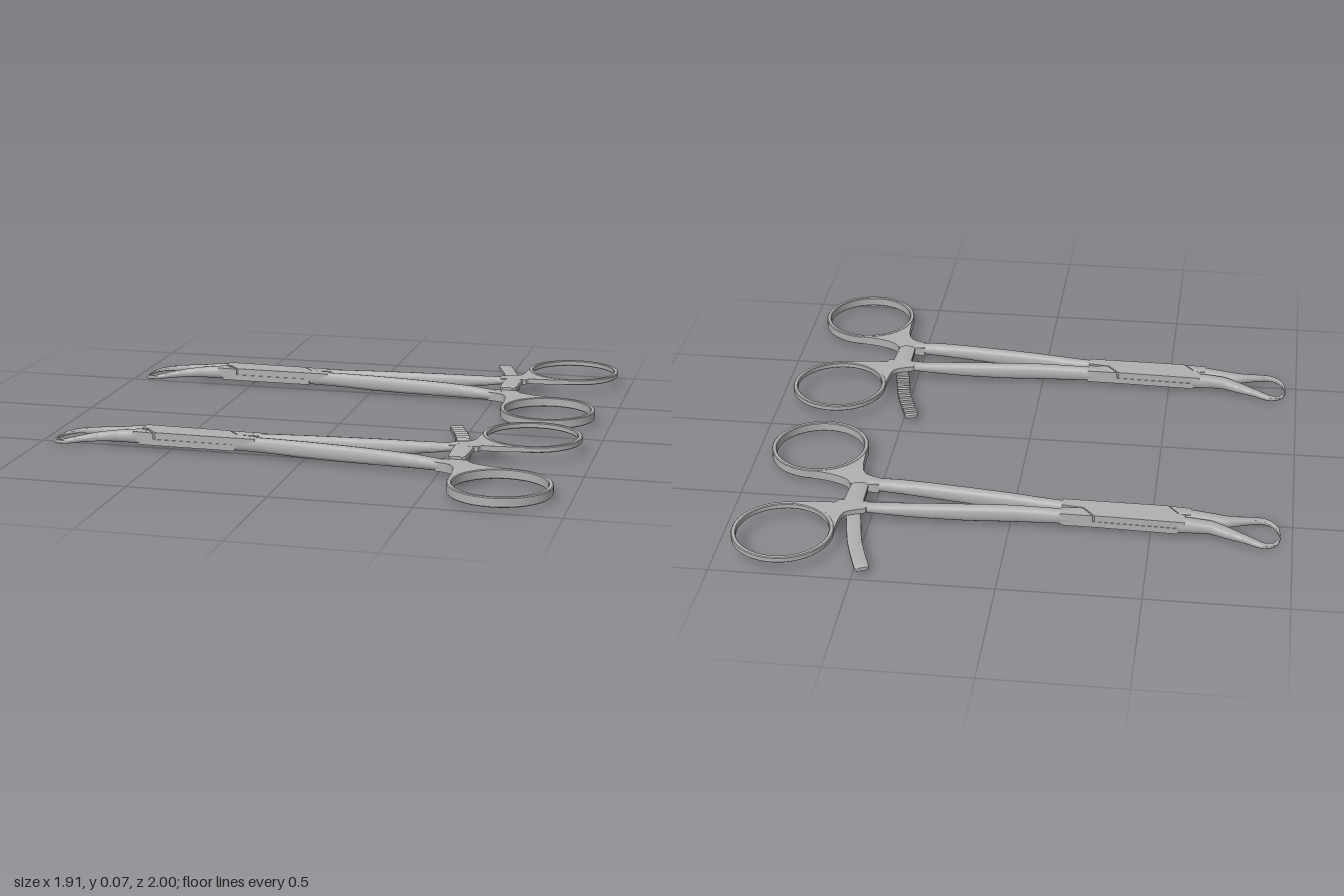
import * as THREE from 'three';
import { toCreasedNormals } from 'three/addons/utils/BufferGeometryUtils.js';

const steel = new THREE.MeshStandardMaterial({ color: 0xb0b0b0 });
steel.name = 'steel';

function add(parent, name, geometry, crease = 0.6) {
  const mesh = new THREE.Mesh(toCreasedNormals(geometry, crease), steel);
  mesh.name = name;
  parent.add(mesh);
  return mesh;
}

// Sweep a rounded section along stations [x, z, width, bottom, top]
function sweep(stations, steps = 40, power = 0.6, sides = 16) {
  const path = new THREE.CatmullRomCurve3(stations.map(s => new THREE.Vector3(s[0], 0, s[1])));
  const pos = [], index = [], last = stations.length - 1;
  const round = v => Math.sign(v) * Math.pow(Math.abs(v), power);
  for (let i = 0; i <= steps; i++) {
    const t = i / steps, k = Math.min(Math.floor(t * last), last - 1), f = t * last - k;
    const [w, lo, hi] = [2, 3, 4].map(c => THREE.MathUtils.lerp(stations[k][c], stations[k + 1][c], f));
    const p = path.getPoint(t), d = path.getTangent(t);
    for (let j = 0; j < sides; j++) {
      const a = j / sides * Math.PI * 2, u = round(Math.cos(a)) * w / 2;
      pos.push(p.x - d.z * u, (lo + hi) / 2 + round(Math.sin(a)) * (hi - lo) / 2, p.z + d.x * u);
    }
    if (i === 0 || i === steps) path['cap' + i] = [p.x, (lo + hi) / 2, p.z];
  }
  const c0 = pos.length / 3, c1 = c0 + 1;
  pos.push(...path.cap0, ...path['cap' + steps]);
  for (let j = 0; j < sides; j++) {
    const n = (j + 1) % sides, e = steps * sides;
    for (let i = 0; i < steps; i++) {
      const a = i * sides + j, b = i * sides + n;
      index.push(a, a + sides, b, b, a + sides, b + sides);
    }
    index.push(c0, j, n, c1, e + n, e + j);
  }
  const g = new THREE.BufferGeometry();
  g.setAttribute('position', new THREE.Float32BufferAttribute(pos, 3));
  g.setIndex(index);
  return g;
}

// Flat plate with an outline in x, z between two heights
function plate(shape, y0, y1) {
  const g = new THREE.ExtrudeGeometry(shape, { depth: y1 - y0, bevelEnabled: false, curveSegments: 24 });
  return g.rotateX(Math.PI / 2).translate(0, y1, 0);
}
const outline = pts => new THREE.Shape(pts.map(p => new THREE.Vector2(...p)));

// Finger ring and the flared web joining it to the shank; side = +1 or -1 in z
function handle(parent, name, cx, cz, side, shift, y0, y1) {
  const ro = 0.18, ri = 0.163, b = 0.003;
  const profile = [[ri, y0 + b], [ri + b, y0], [ro - b, y0], [ro, y0 + b], [ro, y1 - b],
    [ro - b, y1], [ri + b, y1], [ri, y1 - b], [ri, y0 + b]].map(p => new THREE.Vector2(...p));
  add(parent, name + 'Ring', new THREE.LatheGeometry(profile, 64).translate(cx, 0, cz));

  const v = (x, z) => new THREE.Vector2(cx + x, cz + side * z);
  const inner = new THREE.SplineCurve([v(-0.16, -0.25 + shift), v(-0.15, -0.232 + shift),
    v(-0.125, -0.212 + shift / 2), v(-0.066, -0.19), v(0, -0.178)]).getPoints(16);
  const arc = [];
  for (let i = 1; i < 24; i++) {
    const a = Math.PI / 2 * (1 + i / 24);
    arc.push(v(0.168 * Math.cos(a), -0.168 * Math.sin(a)));
  }
  const outer = new THREE.SplineCurve([v(-0.178, 0), v(-0.18, -0.07), v(-0.188, -0.14 + shift / 2),
    v(-0.21, -0.18 + shift), v(-0.265, -0.2 + shift)]).getPoints(16);
  add(parent, name + 'Web', plate(new THREE.Shape([v(-0.265, -0.248 + shift), ...inner, ...arc, ...outer]),
    y0 + 0.001, y1 - 0.001));
}

// Curved jaw with a drooping claw tip
function jaw(parent, name, side, mid) {
  add(parent, name, sweep([
    [-0.957, side * 0.008, 0.005, 0, 0.008], [-0.939, side * 0.056, 0.017, 0.003, 0.014],
    [-0.9, side * 0.077, 0.025, 0.007, 0.023], [-0.84, side * 0.06, 0.03, 0.013, 0.036],
    [-0.775, side * 0.038, 0.042, 0.016, 0.047], [-0.71, mid, 0.046, 0.018, 0.057],
    [-0.65, mid, 0.05, 0.018, 0.064], [-0.595, mid, 0.052, 0.018, 0.066]], 56, 0.55));
}

function clamp(toothed) {
  const g = new THREE.Group();
  jaw(g, 'upperMemberJaw', -1, -0.017);
  jaw(g, 'lowerMemberJaw', 1, 0.034);

  // Box lock: two crossing halves with diagonal shoulders
  add(g, 'lockTopHalf', plate(outline([[-0.62, -0.042], [-0.302, -0.033], [-0.26, 0.016],
    [-0.18, 0.026], [-0.18, 0.066], [-0.555, 0.063], [-0.598, 0.011], [-0.62, 0.009]]), 0.041, 0.066));
  add(g, 'lockBottomHalf', plate(outline([[-0.62, 0.016], [-0.598, 0.012], [-0.598, -0.042], [-0.302, -0.033],
    [-0.18, -0.032], [-0.18, 0.012], [-0.255, 0.016], [-0.255, 0.064], [-0.555, 0.063], [-0.62, 0.058]]), 0.017, 0.04));
  add(g, 'frontShoulder', plate(outline([[-0.64, 0.015], [-0.603, 0.014], [-0.561, 0.064], [-0.64, 0.058]]), 0.03, 0.064));
  add(g, 'rearShoulder', plate(outline([[-0.296, -0.033], [-0.18, -0.032], [-0.18, 0.012], [-0.255, 0.015]]), 0.03, 0.065));

  // Shanks spreading towards the handles
  add(g, 'lowerShank', sweep([[-0.27, 0.04, 0.045, 0.017, 0.065], [-0.13, 0.05, 0.044, 0.015, 0.068],
    [0, 0.067, 0.045, 0.012, 0.07], [0.15, 0.085, 0.047, 0.012, 0.07], [0.3, 0.103, 0.049, 0.015, 0.068],
    [0.42, 0.118, 0.05, 0.017, 0.064], [0.54, 0.132, 0.05, 0.018, 0.053]], 40, 0.7));
  add(g, 'upperShank', sweep([[-0.24, -0.009, 0.046, 0.017, 0.065], [-0.13, -0.011, 0.046, 0.015, 0.068],
    [0, -0.014, 0.046, 0.012, 0.071], [0.15, -0.025, 0.046, 0.012, 0.071], [0.3, -0.036, 0.045, 0.018, 0.07],
    [0.42, -0.045, 0.044, 0.028, 0.068], [0.54, -0.054, 0.043, 0.043, 0.067]], 40, 0.7));

  handle(g, 'lowerHandle', 0.759, 0.349, 1, 0, 0.018, 0.053);
  handle(g, 'upperHandle', 0.773, -0.246, -1, 0.035, 0.046, 0.067);

  // Ratchet arm reaching under the opposite handle, and the catch above it
  const arm = [[0.56, 0.13], [0.56, 0.03], [0.558, -0.06], [0.545, -0.12], [0.518, -0.245], [0.466, -0.395]];
  add(g, 'ratchetArm', sweep([...arm.map(p => [...p, 0.052, 0.019, 0.036]),
    [0.463, -0.402, 0.036, 0.021, 0.034]], 40, 0.4));
  add(g, 'ratchetCatch', sweep([[0.562, -0.06, 0.085, 0.044, 0.066], [0.562, -0.02, 0.072, 0.043, 0.066],
    [0.561, 0.04, 0.068, 0.042, 0.065], [0.56, 0.085, 0.062, 0.042, 0.064],
    [0.56, 0.097, 0.04, 0.044, 0.062]], 30, 0.45));

  // Slanted teeth across the top of the arm
  if (toothed) {
    const curve = new THREE.CatmullRomCurve3(arm.slice(2).map(p => new THREE.Vector3(p[0], 0.035, p[1])));
    for (let i = 0; i < 12; i++) {
      const t = (i + 0.4) / 12, p = curve.getPointAt(t), d = curve.getTangentAt(t);
      const tooth = add(g, 'ratchetTooth', plate(outline([[-0.013, 0.002], [0.013, 0.002], [0.011, -0.008]]), -0.024, 0.024)
        .rotateX(-Math.PI / 2).scale(1, -1, -1));
      tooth.position.copy(p);
      tooth.rotation.y = Math.atan2(-d.z, d.x);
    }
  }
  return g;
}

export function createModel() {
  const model = new THREE.Group();
  model.name = 'clampPair';
  [[-0.573, false, 'rearClamp'], [0.469, true, 'frontClamp']].forEach(([z, toothed, name]) => {
    const c = clamp(toothed);
    c.name = name;
    c.position.z = z;
    model.add(c);
  });
  return model;
}
